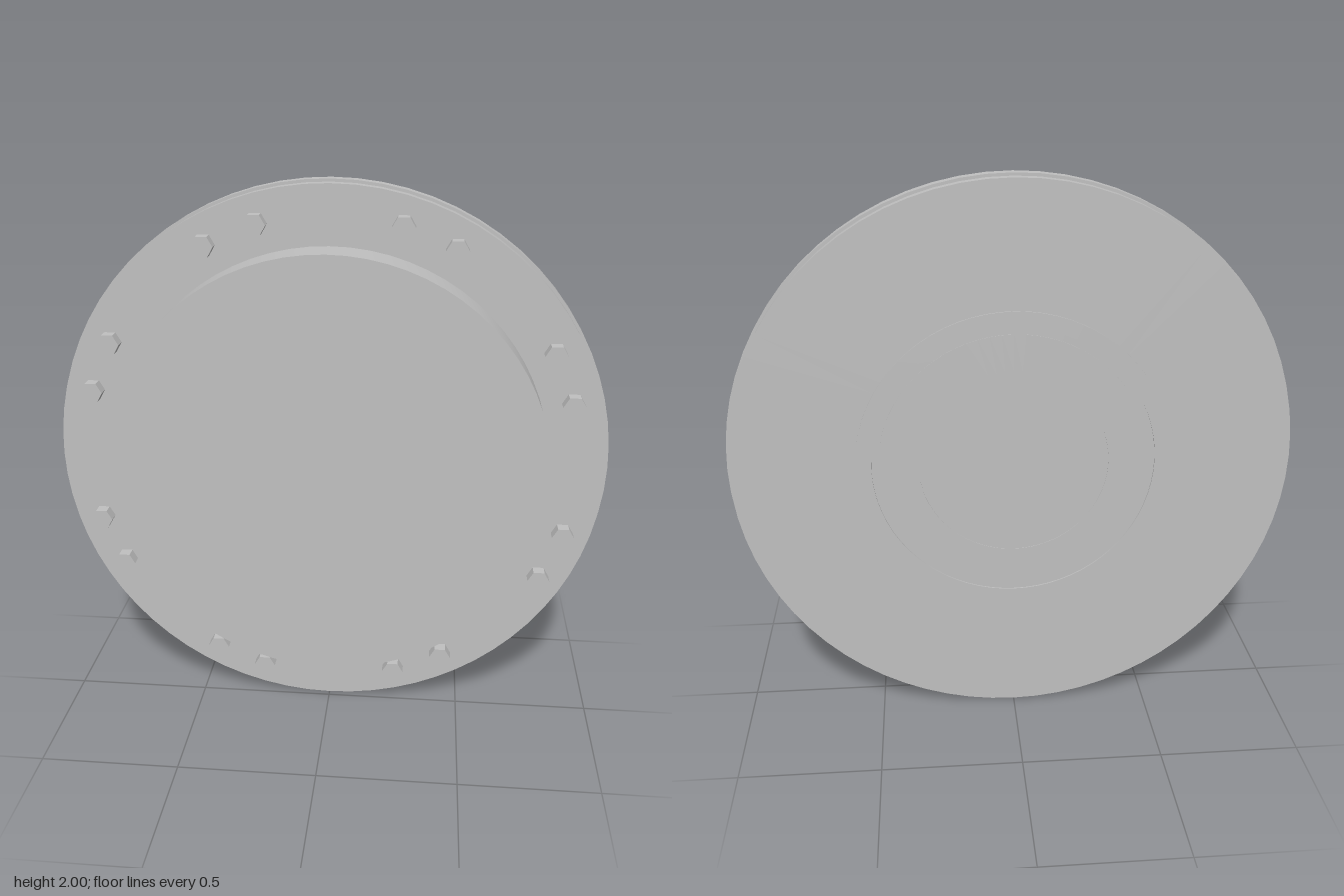
import * as THREE from 'three';
import { toCreasedNormals } from 'three/addons/utils/BufferGeometryUtils.js';

const SEGMENTS = 72;
const CENTER_Y = 1;

export function createModel() {
  const group = new THREE.Group();
  group.name = 'boltedCover';
  const metal = new THREE.MeshStandardMaterial({ color: 0xc0c0c0 });
  metal.name = 'grey metal';

  // Turned part: profile of [radius, z] from the back centre to the front centre
  function turned(name, profile) {
    const points = profile.map(([r, z]) => new THREE.Vector2(r, z));
    const lathe = new THREE.LatheGeometry(points, SEGMENTS).rotateX(Math.PI / 2);
    const mesh = new THREE.Mesh(toCreasedNormals(lathe, 0.5), metal);
    mesh.name = name;
    mesh.position.y = CENTER_Y;
    group.add(mesh);
  }

  // Flange with a raised rim band, and shallow concentric steps on its back
  turned('flange', [
    [0, -0.130],
    [0.335, -0.130], [0.335, -0.132],
    [0.475, -0.132], [0.475, -0.130],
    [0.50, -0.130], [0.50, -0.135],
    [0.555, -0.135], [0.555, -0.130],
    [0.99, -0.130], [0.99, -0.092],
    [1, -0.092], [1, -0.047],
    [0.99, -0.047], [0.99, -0.008],
    [0.78, -0.008],
  ]);

  // Wide round boss on the front
  turned('boss', [[0.783, -0.008], [0.783, 0.135], [0, 0.135]]);

  // Hexagonal bolt heads, in mirrored pairs around the flange
  const boltShape = toCreasedNormals(
    new THREE.CylinderGeometry(0.04, 0.04, 0.043, 6).rotateY(Math.PI / 6).rotateX(Math.PI / 2), 0.5);
  const bolts = new THREE.Group();
  bolts.name = 'bolts';
  for (const [x, y] of [[0.25, 0.855], [0.43, 0.78], [0.78, 0.43], [0.855, 0.25]]) {
    for (const sx of [-1, 1]) {
      for (const sy of [-1, 1]) {
        const bolt = new THREE.Mesh(boltShape, metal);
        bolt.name = 'boltHead';
        bolt.position.set(sx * x, CENTER_Y + sy * y, 0.0135);
        bolts.add(bolt);
      }
    }
  }
  group.add(bolts);
  return group;
}
